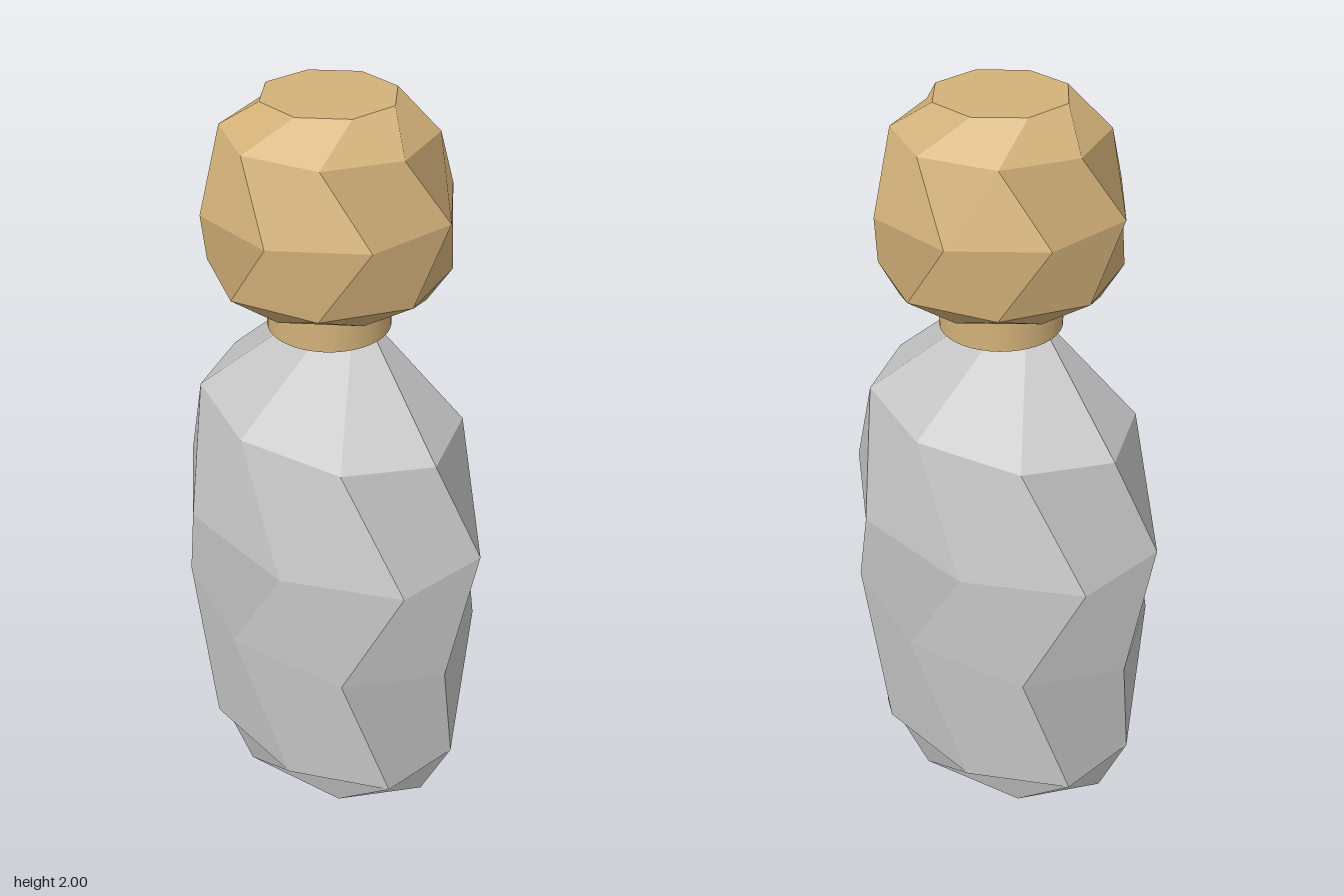
import * as THREE from 'three';

const SIDES = 8;
const STEP = (Math.PI * 2) / SIDES;

// Faceted solid from stacked octagons [y, radiusX, radiusZ, twisted];
// twisted rings are turned by half a step so the edges zigzag upward.
function facetedGeometry(rings) {
  const points = rings.map(([y, rx, rz, twisted]) =>
    Array.from({ length: SIDES }, (_, k) => {
      const a = (k + (twisted ? 0.5 : 0)) * STEP;
      return new THREE.Vector3(Math.sin(a) * rx, y, Math.cos(a) * rz);
    }));
  const positions = [], normals = [];

  // One flat-shaded facet: a fan of triangles sharing a single normal
  const facet = (corners) => {
    const normal = new THREE.Vector3();
    const first = corners[0];
    for (let i = 1; i < corners.length - 1; i++) {
      const u = corners[i].clone().sub(first);
      const v = corners[i + 1].clone().sub(first);
      normal.add(u.cross(v));
    }
    normal.normalize();
    for (let i = 1; i < corners.length - 1; i++) {
      for (const p of [first, corners[i], corners[i + 1]]) {
        positions.push(p.x, p.y, p.z);
        normals.push(normal.x, normal.y, normal.z);
      }
    }
  };

  // side facets
  for (let r = 0; r < rings.length - 1; r++) {
    const low = points[r], high = points[r + 1];
    for (let k = 0; k < SIDES; k++) {
      const n = (k + 1) % SIDES;
      facet([low[k], low[n], high[n], high[k]]);
    }
  }
  // flat ends
  facet([...points[0]].reverse());
  facet(points[points.length - 1]);

  const geometry = new THREE.BufferGeometry();
  geometry.setAttribute('position', new THREE.Float32BufferAttribute(positions, 3));
  geometry.setAttribute('normal', new THREE.Float32BufferAttribute(normals, 3));
  return geometry;
}

export function createModel() {
  const group = new THREE.Group();
  const glass = new THREE.MeshStandardMaterial({ color: 0xc8c8c8 });
  glass.name = 'greyGlass';
  const gold = new THREE.MeshStandardMaterial({ color: 0xd4b27a });
  gold.name = 'paleGold';

  const add = (name, geometry, material, y = 0) => {
    const mesh = new THREE.Mesh(geometry, material);
    mesh.name = name;
    mesh.position.y = y;
    group.add(mesh);
  };

  // Oval bottle body
  add('bottleBody', facetedGeometry([
    [0, 0.415, 0.3, false],
    [0.07, 0.444, 0.32, true],
    [0.49, 0.487, 0.351, false],
    [0.81, 0.5, 0.361, true],
    [1.14, 0.417, 0.301, false],
    [1.38, 0.144, 0.104, true],
  ]), glass);

  // Round neck hidden in the collar
  add('bottleNeck', new THREE.CylinderGeometry(0.115, 0.115, 0.12, 32), glass, 1.435);

  // Smooth collar
  add('collar', new THREE.CylinderGeometry(0.162, 0.162, 0.13, 40), gold, 1.448);

  // Faceted stopper
  add('stopper', facetedGeometry([
    [1.512, 0.272, 0.272, true],
    [1.55, 0.314, 0.314, false],
    [1.73, 0.33, 0.33, true],
    [1.915, 0.27, 0.27, false],
    [2, 0.174, 0.174, true],
  ]), gold);

  return group;
}
